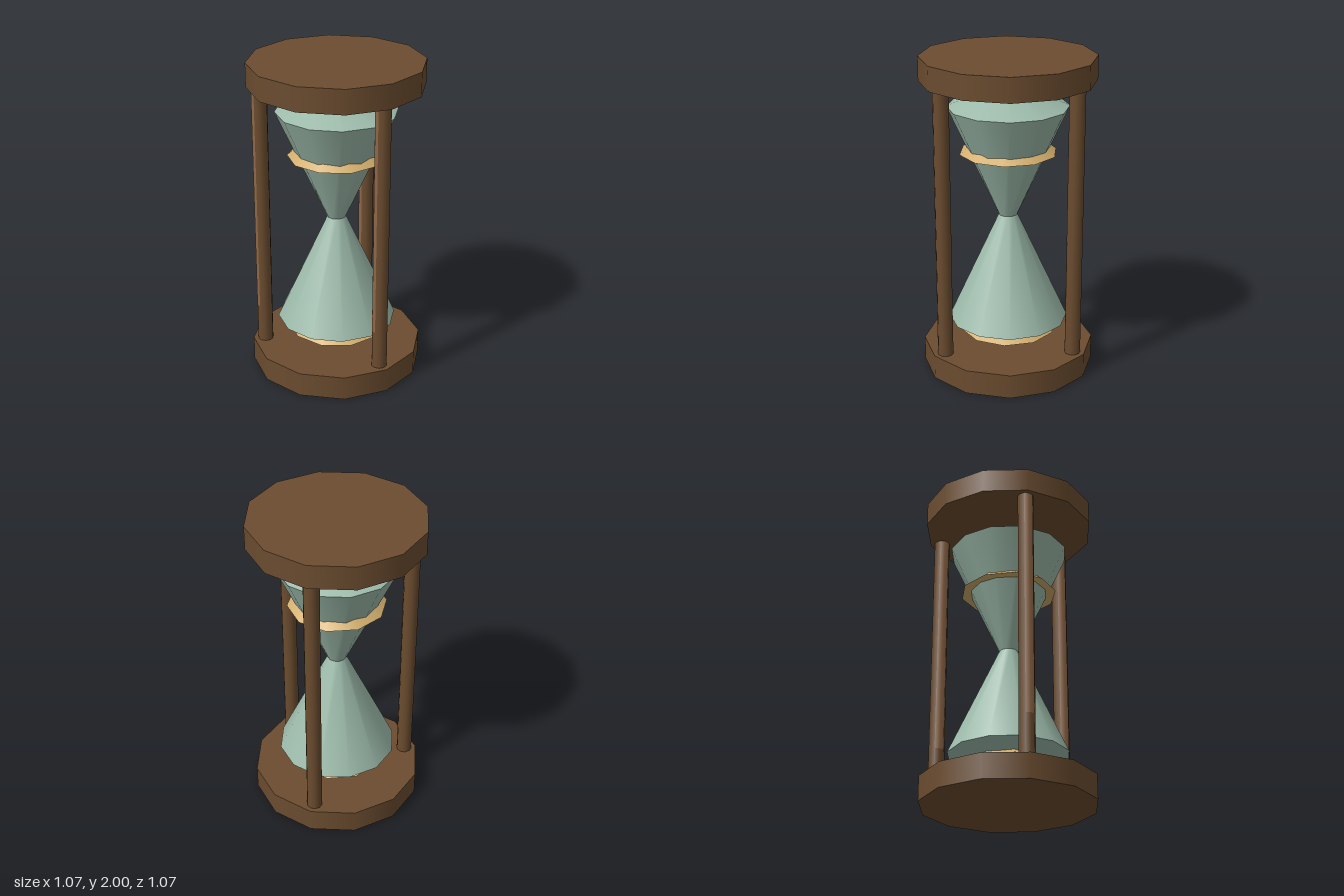
import * as THREE from 'three';

export function createModel() {
  const model = new THREE.Group();
  const mat = (name, color) => {
    const m = new THREE.MeshStandardMaterial({ color });
    m.name = name;
    return m;
  };
  const wood = mat('dark wood', 0x6b4c2f);
  const lightWood = mat('light wood', 0x8f6848);
  const glass = mat('pale green glass', 0x9dbbab);
  const sand = mat('sand', 0xd2ae6d);

  const add = (name, geometry, material, x, y, z, parent = model) => {
    const mesh = new THREE.Mesh(geometry, material);
    mesh.name = name;
    mesh.position.set(x, y, z);
    parent.add(mesh);
    return mesh;
  };

  // Solid of revolution between two heights, without caps unless asked
  const frustum = (rTop, rBottom, y0, y1, sides, open = true) => {
    const g = new THREE.CylinderGeometry(rTop, rBottom, y1 - y0, sides, 1, open);
    g.translate(0, (y0 + y1) / 2, 0);
    return g;
  };

  // End plates
  add('basePlate', frustum(0.537, 0.537, 0, 0.153, 12, false), wood, 0, 0, 0);
  add('topPlate', frustum(0.537, 0.537, 1.85, 2, 12, false), wood, 0, 0, 0);

  // Three posts, each with a thin lighter strip
  const deg = Math.PI / 180;
  const postGeo = new THREE.CylinderGeometry(0.0485, 0.0485, 1.71, 10, 1, false, Math.PI / 2);
  const stripGeo = new THREE.CylinderGeometry(0.0495, 0.0495, 1.45, 2, 1, true, -54 * deg, 72 * deg);
  for (let i = 0; i < 3; i++) {
    const a = i * 120 * deg;
    const post = new THREE.Group();
    post.name = 'post' + (i + 1);
    post.position.set(0.459 * Math.cos(a), 0, 0.459 * Math.sin(a));
    add('postShaft', postGeo, wood, 0, 1, 0, post);
    add('postStrip', stripGeo, lightWood, 0, 1.125, 0, post);
    model.add(post);
  }

  // Glass: two bulbs meeting at a narrow neck, each closed by a shallow cone
  const R = 0.373, neck = 0.058;
  add('lowerGlassEnd', frustum(R, 0, 0.153, 0.312, 12), glass, 0, 0, 0);
  add('lowerGlassBulb', frustum(neck, R, 0.312, 1, 12), glass, 0, 0, 0);
  add('upperGlassBulb', frustum(R, neck, 1, 1.692, 12), glass, 0, 0, 0);
  add('upperGlassEnd', frustum(0, R, 1.692, 1.85, 12), glass, 0, 0, 0);

  // Sand: a pile in the lower bulb and a flat-bottomed heap in the upper one
  add('lowerSandBottom', frustum(0.302, 0, 0.155, 0.235, 10), sand, 0, 0, 0);
  add('lowerSandPile', frustum(0, 0.302, 0.235, 0.46, 10), sand, 0, 0, 0);
  add('upperSandHeap', frustum(0, 0.302, 1.403, 1.64, 10, false), sand, 0, 0, 0);

  return model;
}
